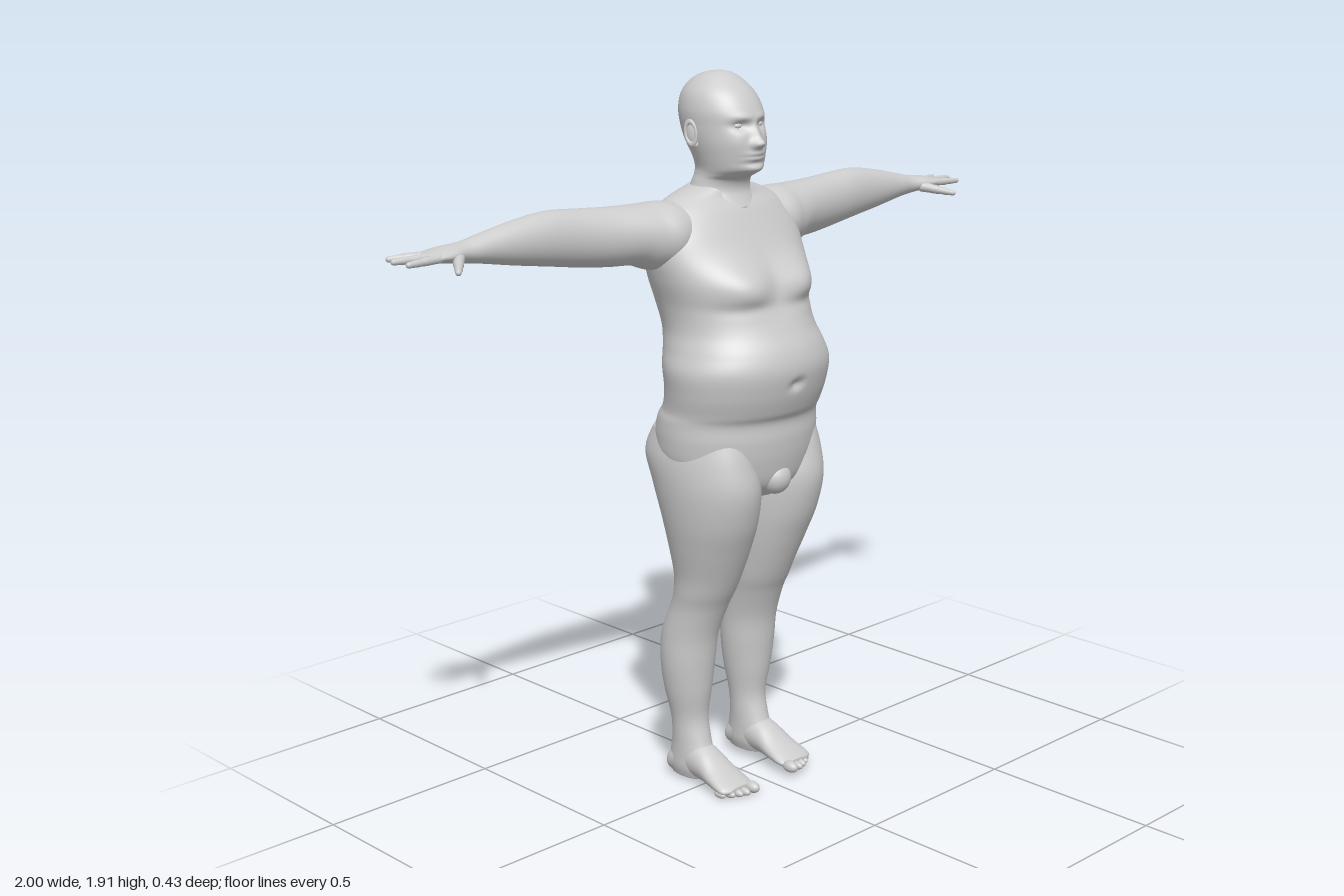
import * as THREE from 'three';

const material = new THREE.MeshStandardMaterial({ color: 0xcccccc });
const gauss = (d, s) => Math.exp(-(d * d) / (2 * s * s));

function spline(rows, t) {
  const last = rows.length - 1;
  const i = Math.min(Math.floor(t), last - 1), f = t - i;
  const [a, b, c, d] = [-1, 0, 1, 2].map(k => rows[THREE.MathUtils.clamp(i + k, 0, last)]);
  return b.map((p, k) => p + 0.5 * f * (c[k] - a[k] +
    f * (2 * a[k] - 5 * p + 4 * c[k] - d[k] + f * (3 * (p - c[k]) + d[k] - a[k]))));
}

// Closed skin over oval sections [s, u0, u1, v0, v1, roundness]; place(s, u, v, side) gives the point
function loft(rows, place, ring = 48, steps = 6) {
  const full = rows.map(r => (r.length < 6 ? [...r, 1] : r));
  const pos = [], index = [], count = (rows.length - 1) * steps;
  const pow = (c, e) => Math.sign(c) * Math.abs(c) ** e;
  for (let j = 0; j <= count; j++) {
    const [s, u0, u1, v0, v1, e] = spline(full, j / steps);
    for (let i = 0; i < ring; i++) {
      const a = (i / ring) * Math.PI * 2, c = Math.cos(a), n = Math.sin(a);
      pos.push(...place(s, (u0 + u1) / 2 + (u1 - u0) / 2 * pow(c, e),
        (v0 + v1) / 2 + (v1 - v0) / 2 * pow(n, e), n));
      if (j < count) {
        const p = j * ring + i, q = j * ring + (i + 1) % ring;
        index.push(p, p + ring, q, q, p + ring, q + ring);
      }
    }
  }
  // End caps
  for (const j of [0, count]) {
    const [s, u0, u1, v0, v1] = full[j ? full.length - 1 : 0];
    const centre = pos.length / 3;
    pos.push(...place(s, (u0 + u1) / 2, (v0 + v1) / 2, 0));
    for (let i = 0; i < ring; i++) {
      const p = j * ring + i, q = j * ring + (i + 1) % ring;
      index.push(centre, ...(j ? [q, p] : [p, q]));
    }
  }
  // Turn the faces outwards when the enclosed volume is negative
  const at = i => new THREE.Vector3().fromArray(pos, i * 3);
  let volume = 0;
  for (let i = 0; i < index.length; i += 3)
    volume += at(index[i]).dot(at(index[i + 1]).cross(at(index[i + 2])));
  if (volume < 0) index.reverse();
  const g = new THREE.BufferGeometry();
  g.setAttribute('position', new THREE.Float32BufferAttribute(pos, 3));
  g.setIndex(index);
  g.computeVertexNormals();
  return g;
}

// Upright placement with mirrored soft bumps [x, y, width, height, depth, side]
const sculpt = bumps => (y, x, z, n) => {
  let dz = 0;
  for (const [bx, by, sx, sy, h, side] of bumps)
    dz += side * h * gauss(Math.abs(x) - bx, sx) * gauss(y - by, sy) * THREE.MathUtils.clamp(n * side * 3, 0, 1);
  return [x, y, z + dz];
};
// Symmetric rows [y, half width, back, front, roundness]
const even = rows => rows.map(([y, w, back, front, e = 1]) => [y, -w, w, back, front, e]);

function add(parent, name, geometry) {
  const mesh = new THREE.Mesh(geometry, material);
  mesh.name = name;
  parent.add(mesh);
  return mesh;
}

function ball(parent, name, [x, y, z], [a, b, c]) {
  const mesh = add(parent, name, new THREE.SphereGeometry(1, 24, 16));
  mesh.position.set(x, y, z);
  mesh.scale.set(a, b, c);
  return mesh;
}

// Tapered finger with slight knuckles
function digit(parent, name, from, to, r0, r1) {
  const a = new THREE.Vector3(...from), b = new THREE.Vector3(...to);
  const length = a.distanceTo(b);
  const g = new THREE.CapsuleGeometry(1, length, 6, 14, 12);
  const p = g.attributes.position;
  for (let i = 0; i < p.count; i++) {
    const y = p.getY(i), t = THREE.MathUtils.clamp(y / length + 0.5, 0, 1);
    const r = THREE.MathUtils.lerp(r0, r1, t) * (1 + 0.1 * gauss(t - 0.45, 0.07) + 0.08 * gauss(t - 0.75, 0.06));
    const core = (t - 0.5) * length;
    p.setXYZ(i, p.getX(i) * r, core + (y - core) * r, p.getZ(i) * r);
  }
  g.computeVertexNormals();
  const mesh = add(parent, name, g);
  mesh.position.copy(a).add(b).multiplyScalar(0.5);
  mesh.quaternion.setFromUnitVectors(new THREE.Vector3(0, 1, 0), b.sub(a).normalize());
}

function addHead(body) {
  const head = new THREE.Group();
  head.name = 'head';
  body.add(head);
  add(head, 'headAndNeck', loft(even([
    [1.57, 0.115, -0.17, 0.02], [1.61, 0.09, -0.15, 0], [1.64, 0.079, -0.138, 0.006],
    [1.655, 0.076, -0.137, 0.032], [1.672, 0.078, -0.14, 0.06, 1.06], [1.7, 0.085, -0.147, 0.064, 1.04],
    [1.74, 0.095, -0.167, 0.06], [1.78, 0.1, -0.182, 0.055], [1.82, 0.101, -0.187, 0.047],
    [1.86, 0.09, -0.178, 0.022], [1.89, 0.066, -0.153, -0.012], [1.908, 0.037, -0.118, -0.04],
    [1.915, 0.003, -0.076, -0.07]]), sculpt([
    [0, 1.739, 0.011, 0.01, 0.022, 1], [0.012, 1.736, 0.007, 0.007, 0.008, 1], // nose and nostrils
    [0, 1.762, 0.009, 0.016, 0.012, 1],
    [0.036, 1.783, 0.016, 0.009, -0.013, 1], [0.03, 1.803, 0.022, 0.008, 0.005, 1], // sockets, brow
    [0, 1.708, 0.02, 0.009, 0.009, 1], [0, 1.706, 0.022, 0.0025, -0.006, 1], // lips
    [0, 1.688, 0.025, 0.005, -0.005, 1], [0, 1.67, 0.02, 0.01, 0.008, 1], // chin
    [0.05, 1.74, 0.02, 0.02, 0.005, 1]]), 112, 10)); // cheeks
  for (const s of [1, -1]) {
    ball(head, 'eye', [s * 0.036, 1.783, 0.027], [0.015, 0.009, 0.012]);
    // Ear: thin shell with a raised rim and a lobe
    const ear = new THREE.Group();
    ear.name = 'ear';
    ball(ear, 'earShell', [0, 0, 0], [0.007, 0.03, 0.016]);
    const rim = add(ear, 'earRim', new THREE.TorusGeometry(0.016, 0.004, 10, 32));
    rim.rotation.y = Math.PI / 2;
    rim.scale.y = 1.8;
    rim.position.x = s * 0.005;
    ball(ear, 'earLobe', [0, -0.03, 0.006], [0.005, 0.009, 0.008]);
    ear.position.set(s * 0.1, 1.762, -0.072);
    ear.rotation.set(-0.2, -s * 0.25, 0);
    head.add(ear);
  }
}

function addTorso(body) {
  add(body, 'torso', loft(even([
    [0.82, 0.1, -0.11, 0.11], [0.86, 0.19, -0.16, 0.148], [0.92, 0.228, -0.187, 0.165],
    [0.98, 0.237, -0.19, 0.172], [1.03, 0.235, -0.182, 0.172], [1.06, 0.232, -0.168, 0.188],
    [1.11, 0.238, -0.16, 0.206], [1.17, 0.242, -0.168, 0.217], [1.22, 0.226, -0.178, 0.207],
    [1.27, 0.212, -0.19, 0.18], [1.33, 0.215, -0.2, 0.146, 0.95], [1.4, 0.234, -0.204, 0.118, 0.92],
    [1.46, 0.245, -0.2, 0.085, 0.92], [1.52, 0.24, -0.19, 0.05, 0.92], [1.57, 0.21, -0.176, 0.02],
    [1.6, 0.16, -0.16, -0.005], [1.625, 0.09, -0.145, -0.01]]), sculpt([
    [0.1, 1.385, 0.055, 0.04, 0.036, 1], [0.1, 1.332, 0.06, 0.012, -0.007, 1], // chest
    [0, 1.135, 0.014, 0.009, -0.014, 1], // navel
    [0, 1.36, 0.02, 0.13, -0.016, -1], [0.12, 1.43, 0.05, 0.07, 0.012, -1], // spine, shoulder blades
    [0.1, 0.96, 0.065, 0.06, 0.022, -1], [0, 0.92, 0.014, 0.07, -0.035, -1]]), 112, 8)); // seat
  ball(body, 'groin', [0, 0.872, 0.13], [0.045, 0.045, 0.042]);
}

function addArm(body, s) {
  const arm = new THREE.Group();
  arm.name = s > 0 ? 'leftArm' : 'rightArm';
  body.add(arm);
  add(arm, 'armAndPalm', loft([
    [0.14, 1.44, 1.59, -0.17, 0], [0.2, 1.425, 1.598, -0.184, 0.014], [0.25, 1.427, 1.597, -0.184, 0],
    [0.3, 1.443, 1.597, -0.177, -0.016], [0.37, 1.447, 1.598, -0.175, -0.036],
    [0.45, 1.455, 1.602, -0.174, -0.053], [0.55, 1.47, 1.607, -0.168, -0.065],
    [0.65, 1.485, 1.594, -0.164, -0.075], [0.75, 1.502, 1.573, -0.16, -0.086],
    [0.8, 1.509, 1.562, -0.157, -0.09], [0.84, 1.514, 1.558, -0.166, -0.08],
    [0.87, 1.518, 1.554, -0.171, -0.078], [0.9, 1.523, 1.548, -0.165, -0.083],
    [0.912, 1.53, 1.543, -0.15, -0.098]], (x, y, z) => [s * x, y, z]));
  const fingers = {
    indexFinger: [[0.89, 1.535, -0.092], [0.981, 1.532, -0.087]],
    middleFinger: [[0.89, 1.537, -0.115], [0.992, 1.535, -0.13]],
    ringFinger: [[0.885, 1.537, -0.138], [0.975, 1.534, -0.173]],
    littleFinger: [[0.865, 1.533, -0.158], [0.92, 1.529, -0.203]],
    thumb: [[0.835, 1.528, -0.092], [0.89, 1.511, -0.022]]
  };
  for (const [name, ends] of Object.entries(fingers))
    digit(arm, name, ...ends.map(([x, y, z]) => [s * x, y, z]), name === 'thumb' ? 0.015 : 0.011, 0.0075);
}

function addLeg(body, s) {
  const leg = new THREE.Group();
  leg.name = s > 0 ? 'leftLeg' : 'rightLeg';
  body.add(leg);
  // Uneven stance: the right foot stands wider, the left a little higher
  const pose = (x, y, z) => {
    const low = Math.max(0, 1 - y / 0.5);
    return s > 0 ? [x, y + 0.012 * low, z] : [-(x + 0.016 * low), y, z];
  };
  add(leg, 'legSkin', loft([
    [1, 0.03, 0.215, -0.17, 0.13], [0.93, 0.014, 0.234, -0.198, 0.15], [0.85, 0.002, 0.236, -0.172, 0.163],
    [0.76, 0, 0.226, -0.142, 0.145], [0.68, 0.003, 0.21, -0.124, 0.113], [0.6, 0.012, 0.192, -0.112, 0.078],
    [0.55, 0.018, 0.187, -0.112, 0.055], [0.5, 0.026, 0.184, -0.126, 0.03],
    [0.42, 0.034, 0.187, -0.155, 0.003], [0.34, 0.037, 0.186, -0.157, -0.007],
    [0.26, 0.045, 0.174, -0.148, -0.015], [0.18, 0.056, 0.156, -0.13, -0.024],
    [0.12, 0.058, 0.152, -0.128, -0.01], [0.08, 0.058, 0.152, -0.134, 0.005],
    [0.04, 0.058, 0.152, -0.14, 0.01], [0.012, 0.066, 0.144, -0.134, 0]], (y, x, z) => pose(x, y, z)));
  add(leg, 'foot', loft([
    [-0.14, 0.085, 0.125, 0.02, 0.05], [-0.12, 0.064, 0.146, 0.005, 0.08], [-0.06, 0.06, 0.15, 0.006, 0.118],
    [0, 0.058, 0.154, 0.008, 0.103], [0.05, 0.053, 0.16, 0.005, 0.07], [0.09, 0.05, 0.164, 0.003, 0.048],
    [0.112, 0.054, 0.16, 0.005, 0.036], [0.124, 0.065, 0.14, 0.012, 0.028]],
  (z, x, y) => pose(x, y, z)));
  // Toes, big to little
  for (let i = 0; i < 5; i++) {
    const r = i ? 0.0115 - i * 0.0004 : 0.016;
    ball(leg, 'toe', pose(i ? 0.075 + i * 0.0195 : 0.067, r + 0.001, 0.13 - i * i * 0.0022),
      [r, r, i ? 0.021 : 0.025]);
  }
}

export function createModel() {
  const body = new THREE.Group();
  body.name = 'standingFigure';
  addHead(body);
  addTorso(body);
  for (const s of [1, -1]) {
    addArm(body, s);
    addLeg(body, s);
  }
  return body;
}
